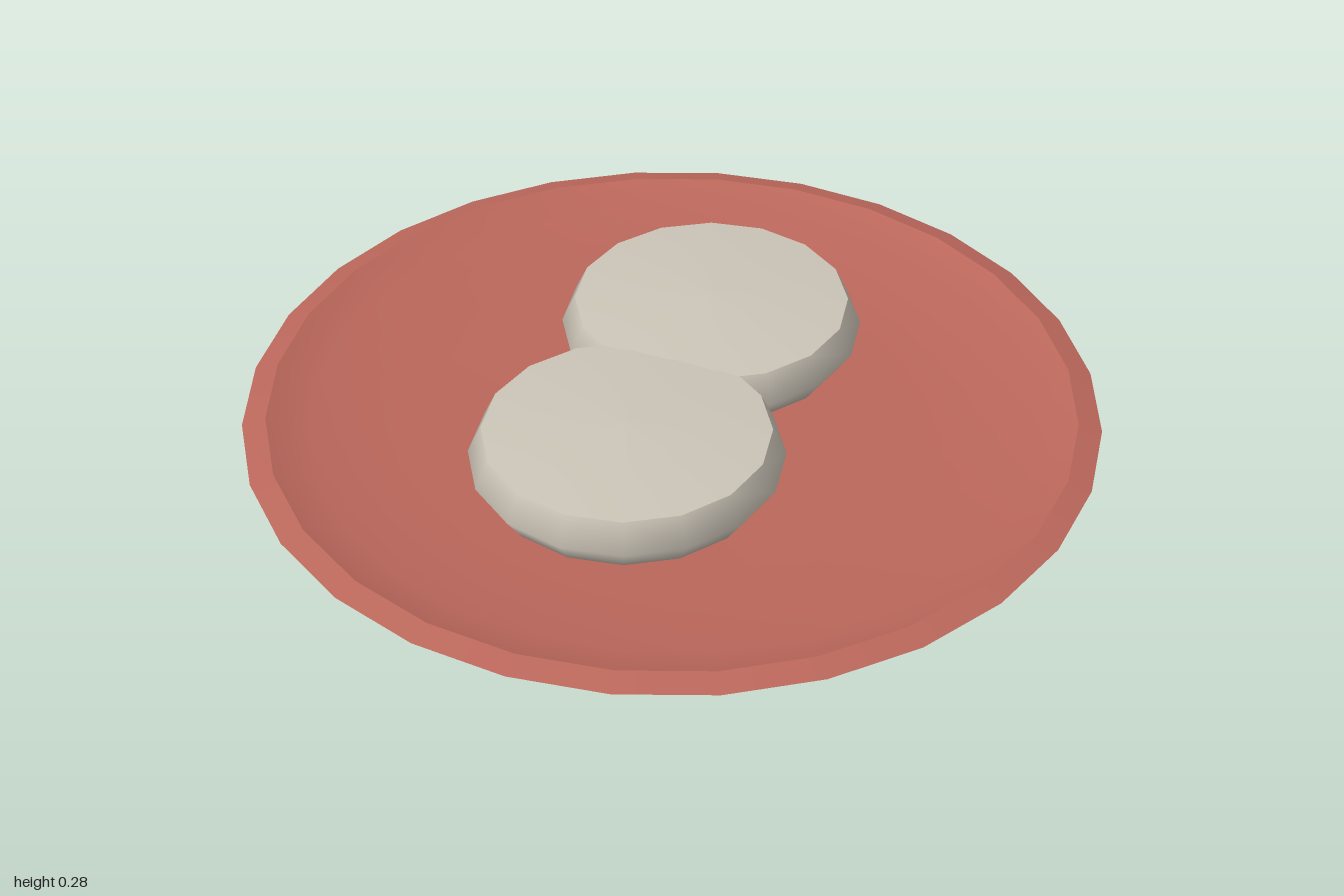
import * as THREE from 'three';

const plateMat = new THREE.MeshStandardMaterial({ color: 0xbb675b });
plateMat.name = 'terracotta';
const biscuitMat = new THREE.MeshStandardMaterial({ color: 0xcbc4b7 });
biscuitMat.name = 'pale cream';

// Revolves a profile; each strip is smooth inside and keeps a sharp edge to the next
function strip(name, profile, sides, material) {
  const points = profile.map(([r, y]) => new THREE.Vector2(r, y));
  const mesh = new THREE.Mesh(new THREE.LatheGeometry(points, sides), material);
  mesh.name = name;
  return mesh;
}

function makePlate() {
  const plate = new THREE.Group();
  plate.name = 'plate';
  plate.add(
    // foot, underside and flared wall
    strip('plateUnderside', [[0, 0.005], [0.55, 0.005], [0.6, 0.06], [0.85, 0.1], [1, 0.185]], 28, plateMat),
    // sloped lip
    strip('plateRim', [[1, 0.185], [0.945, 0.2]], 28, plateMat),
    // shallow dish
    strip('plateDish', [[0.945, 0.2], [0.85, 0.165], [0.58, 0.145], [0, 0.14]], 28, plateMat)
  );
  return plate;
}

function makeBiscuit(name, x, z) {
  const biscuit = new THREE.Group();
  biscuit.name = name;
  biscuit.add(
    // tapered side with an undercut
    strip('biscuitSide', [[0, 0.142], [0.32, 0.142], [0.362, 0.205], [0.33, 0.273]], 16, biscuitMat),
    // slightly domed top
    strip('biscuitTop', [[0.33, 0.273], [0.17, 0.285], [0, 0.29]], 16, biscuitMat)
  );
  biscuit.position.set(x, 0, z);
  return biscuit;
}

export function createModel() {
  const model = new THREE.Group();
  model.name = 'plateWithBiscuits';
  model.add(
    makePlate(),
    makeBiscuit('rightBiscuit', -0.23, 0.09),
    makeBiscuit('leftBiscuit', 0.27, -0.14)
  );
  return model;
}
